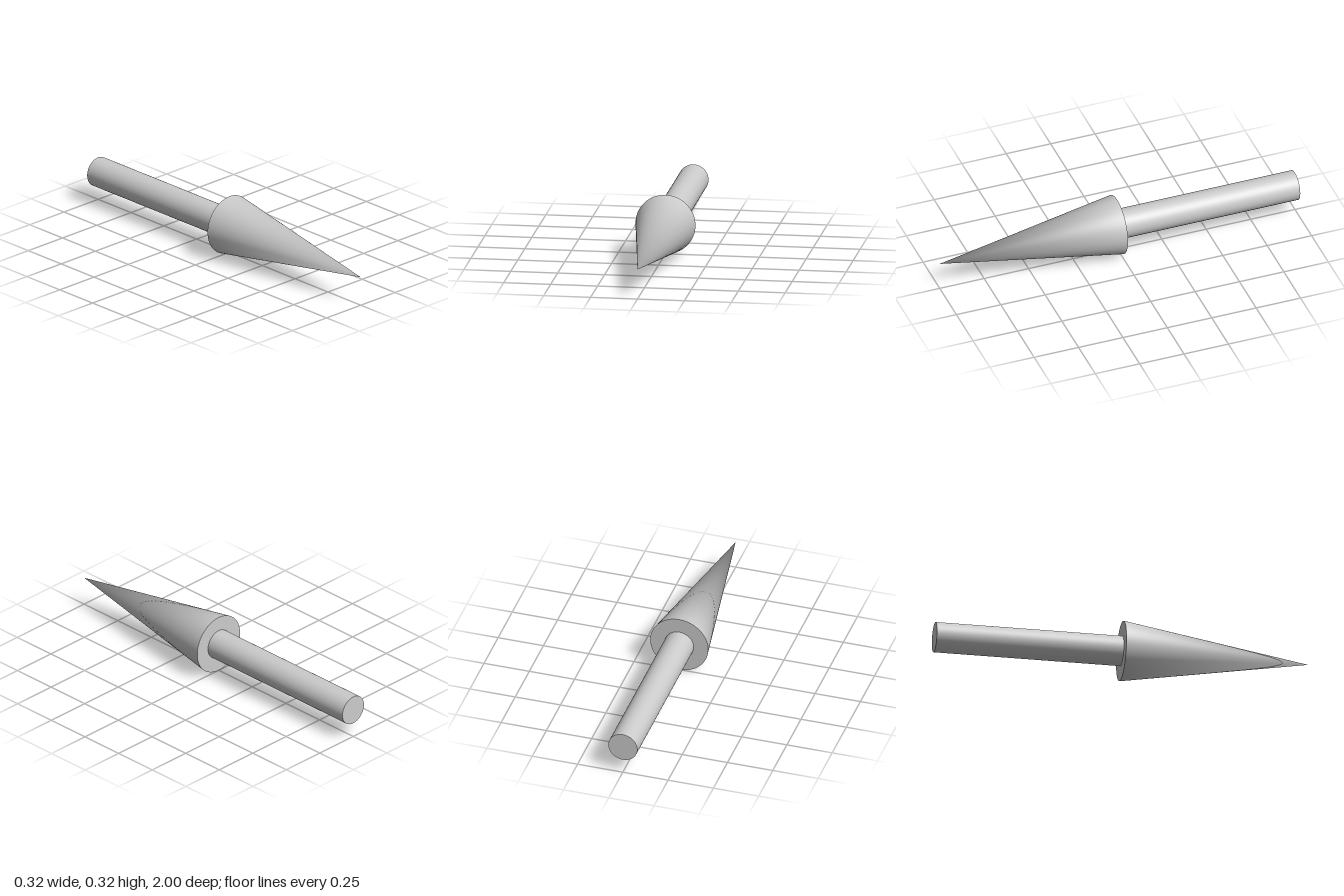
import * as THREE from 'three';

const SEGMENTS = 64;
const HEAD_RADIUS = 0.16;
const SHAFT_RADIUS = 0.08;

export function createModel() {
  const group = new THREE.Group();
  group.name = 'arrow';
  const material = new THREE.MeshStandardMaterial({ color: 0xcccccc });

  const addPart = (name, geometry, z) => {
    geometry.rotateX(Math.PI / 2); // lay the axis along +z
    const mesh = new THREE.Mesh(geometry, material);
    mesh.name = name;
    mesh.position.set(0, HEAD_RADIUS, z);
    group.add(mesh);
  };

  // Pointed head: normals at the tip all face along the axis for a soft point
  const head = new THREE.ConeGeometry(HEAD_RADIUS, 1, SEGMENTS);
  for (let i = 0; i <= SEGMENTS; i++) head.attributes.normal.setXYZ(i, 0, 1, 0);
  addPart('arrowHead', head, 0.5);

  // Round shaft behind the head
  addPart('shaft', new THREE.CylinderGeometry(SHAFT_RADIUS, SHAFT_RADIUS, 1, SEGMENTS), -0.5);

  return group;
}
